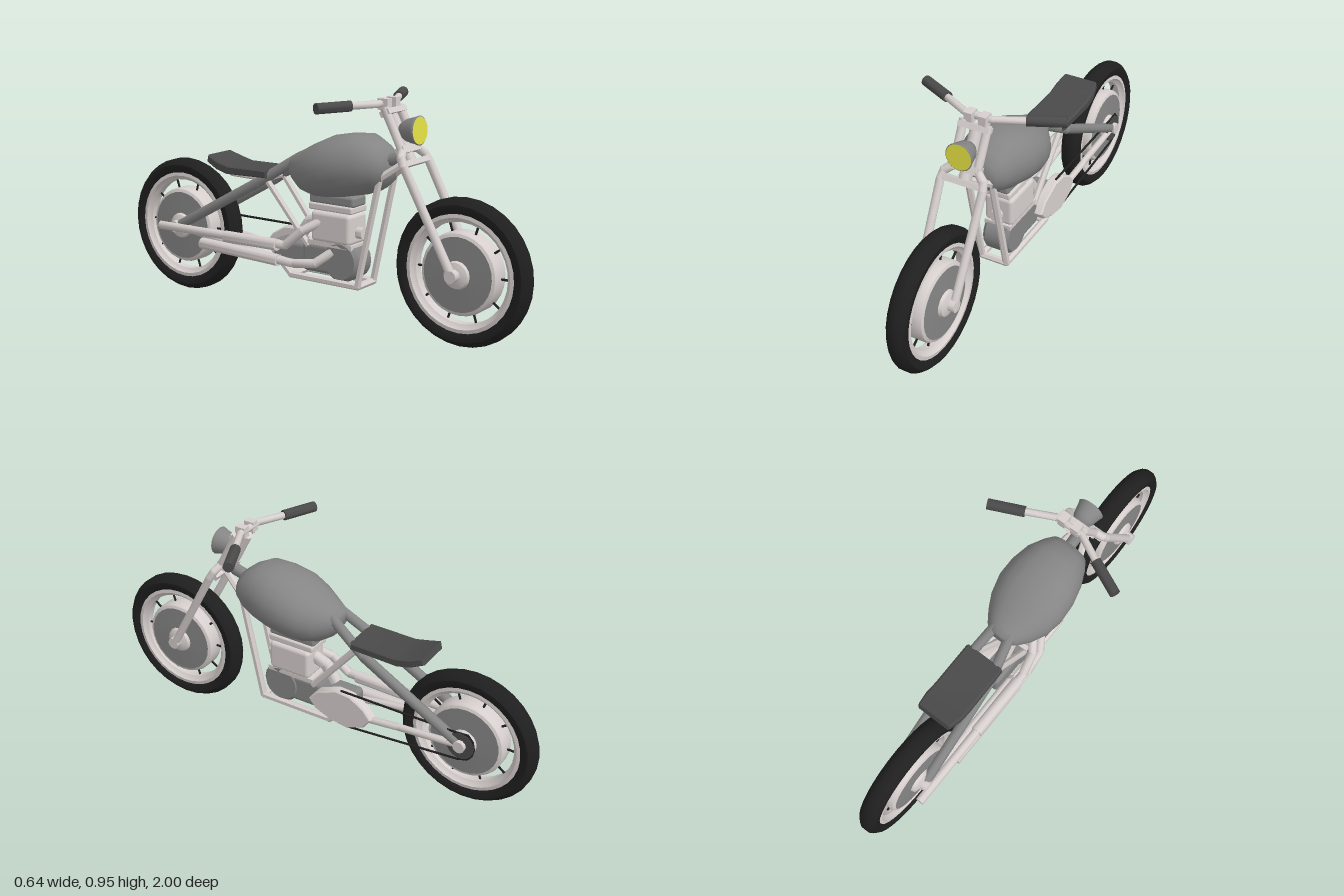
import * as THREE from 'three';
import { toCreasedNormals } from 'three/addons/utils/BufferGeometryUtils.js';
import { RoundedBoxGeometry } from 'three/addons/geometries/RoundedBoxGeometry.js';

const mat = (color) => new THREE.MeshStandardMaterial({ color, side: THREE.DoubleSide });
const LIGHT = mat(0xd6cfcd), GREY = mat(0x858585), DARK = mat(0x4a4a4a), BLACK = mat(0x1f1f1f), YELLOW = mat(0xe3e044);
const V = (x, y, z) => new THREE.Vector3(x, y, z);

export function createModel() {
  const bike = new THREE.Group();
  bike.name = 'motorcycle';

  const add = (name, geo, material, parent = bike) => {
    const mesh = new THREE.Mesh(geo, material);
    mesh.name = name;
    parent.add(mesh);
    return mesh;
  };
  const box = (name, w, h, d, x, y, z, material = LIGHT, radius = 0) => {
    const geo = radius ? new RoundedBoxGeometry(w, h, d, 2, radius) : new THREE.BoxGeometry(w, h, d);
    const mesh = add(name, geo, material);
    mesh.position.set(x, y, z);
    return mesh;
  };
  // Straight rods through a list of [x, y, z] points, with a ball at each bend
  const pipe = (name, points, r, material = LIGHT, sides = 8, parent = bike) => {
    const group = new THREE.Group();
    group.name = name;
    parent.add(group);
    const p = points.map((a) => V(...a));
    for (let i = 0; i + 1 < p.length; i++) {
      const dir = p[i + 1].clone().sub(p[i]);
      const geo = toCreasedNormals(new THREE.CylinderGeometry(r, r, dir.length(), sides), 0.9);
      const rod = add(name + 'Section', geo, material, group);
      rod.position.copy(p[i]).addScaledVector(dir, 0.5);
      rod.quaternion.setFromUnitVectors(V(0, 1, 0), dir.normalize());
      if (i) add(name + 'Bend', new THREE.SphereGeometry(r, sides, 6), material, group).position.copy(p[i]);
    }
    return group;
  };
  // Turned shape around the x axis, profile as [radius, x]
  const turned = (name, profile, sides, material, parent, crease = 0.6) => {
    const geo = new THREE.LatheGeometry(profile.map(([r, x]) => new THREE.Vector2(r, x)), sides);
    geo.rotateZ(-Math.PI / 2);
    return add(name, toCreasedNormals(geo, crease), material, parent);
  };
  const mirrored = (build) => [1, -1].forEach(build);

  // Wheels
  const makeWheel = (name, z) => {
    const wheel = new THREE.Group();
    wheel.name = name;
    wheel.position.set(0, 0.297, z);
    bike.add(wheel);
    turned('tire', [[0.235, -0.032], [0.25, -0.042], [0.272, -0.043], [0.288, -0.028], [0.296, -0.014],
      [0.296, 0.014], [0.288, 0.028], [0.272, 0.043], [0.25, 0.042], [0.235, 0.032]], 32, BLACK, wheel, 0.7);
    turned('rim', [[0.237, -0.034], [0.222, -0.036], [0.216, -0.026], [0.203, -0.018], [0.203, 0.018],
      [0.216, 0.026], [0.222, 0.036], [0.237, 0.034]], 32, LIGHT, wheel);
    turned('drum', [[0.15, -0.046], [0.162, -0.041], [0.167, -0.03], [0.167, 0.03], [0.162, 0.041], [0.15, 0.046]],
      28, LIGHT, wheel);
    mirrored((s) => {
      turned('drumFace', [[0.15, s * 0.046], [0.055, s * 0.05]], 28, GREY, wheel);
      turned('hub', [[0.058, s * 0.048], [0.052, s * 0.062], [0.028, s * 0.072], [0, s * 0.072]], 16, LIGHT, wheel);
    });
    for (let i = 0; i < 10; i++) {
      const a = (i + 0.5) / 10 * Math.PI * 2, c = Math.cos(a), d = Math.sin(a);
      pipe('spoke', [[0, 0.16 * c, 0.16 * d], [0, 0.21 * c, 0.21 * d]], 0.005, BLACK, 5, wheel);
    }
  };
  makeWheel('frontWheel', 0.704);
  makeWheel('rearWheel', -0.704);
  pipe('frontAxle', [[-0.105, 0.3, 0.704], [0.1, 0.3, 0.704]], 0.026, LIGHT, 10);
  pipe('rearAxle', [[-0.1, 0.3, -0.704], [0.1, 0.3, -0.704]], 0.026, LIGHT, 10);

  // Front fork
  mirrored((s) => {
    pipe('forkLeg', [[s * 0.086, 0.285, 0.71], [s * 0.093, 0.7, 0.485], [s * 0.086, 0.73, 0.468],
      [s * 0.053, 0.755, 0.452], [s * 0.053, 0.915, 0.368]], 0.018);
    box('barClamp', 0.034, 0.045, 0.045, s * 0.031, 0.928, 0.355);
  });
  box('lowerForkBrace', 0.17, 0.022, 0.04, 0, 0.705, 0.475).rotation.x = -0.48;
  box('upperForkBrace', 0.13, 0.022, 0.045, 0, 0.898, 0.375).rotation.x = -0.48;
  box('middleForkBrace', 0.13, 0.03, 0.04, 0, 0.755, 0.448).rotation.x = -0.48;
  pipe('steeringHead', [[0, 0.69, 0.465], [0, 0.9, 0.355]], 0.026, LIGHT, 10);

  // Handlebar and grips
  pipe('handlebar', [[-0.2, 0.93, 0.275], [-0.06, 0.93, 0.345], [0.06, 0.93, 0.345], [0.2, 0.93, 0.275]], 0.015);
  mirrored((s) => pipe('grip', [[s * 0.172, 0.93, 0.288], [s * 0.31, 0.93, 0.224]], 0.022, DARK, 12));

  // Headlight: bowl and lens
  const lamp = new THREE.Group();
  lamp.name = 'headlight';
  lamp.position.set(0, 0.832, 0.496);
  lamp.rotation.x = -0.06;
  bike.add(lamp);
  const bowl = [[0, -0.085], [0.028, -0.08], [0.044, -0.055], [0.055, -0.01], [0.059, 0], [0.054, 0.003]];
  const bowlGeo = new THREE.LatheGeometry(bowl.map(([r, h]) => new THREE.Vector2(r, h)), 20).rotateX(Math.PI / 2);
  add('headlightBowl', bowlGeo, GREY, lamp);
  add('headlightLens', new THREE.CircleGeometry(0.055, 24), YELLOW, lamp).position.z = 0.003;
  pipe('headlightBracket', [[0, 0.83, 0.43], [0, 0.82, 0.4]], 0.02);

  // Fuel tank lofted from stations [z, bottom, top, half width]
  const stations = [[0.37, 0.645, 0.695, 0.045], [0.36, 0.605, 0.735, 0.085], [0.325, 0.575, 0.765, 0.108],
    [0.26, 0.55, 0.798, 0.138], [0.18, 0.533, 0.793, 0.157], [0.1, 0.522, 0.777, 0.16], [0.03, 0.52, 0.745, 0.143],
    [-0.03, 0.532, 0.713, 0.112], [-0.08, 0.565, 0.69, 0.077], [-0.108, 0.61, 0.672, 0.05]];
  const n = 20, pos = [], idx = [];
  stations.forEach(([z, lo, hi, w]) => {
    for (let i = 0; i < n; i++) {
      const a = i / n * Math.PI * 2, sx = Math.sin(a), cy = Math.cos(a);
      const x = w * Math.sign(sx) * Math.abs(sx) ** 0.85;
      pos.push(x, (lo + hi) / 2 + (hi - lo) / 2 * cy, z);
    }
  });
  const last = stations.length - 1;
  for (let k = 0; k < last; k++) for (let i = 0; i < n; i++) {
    const a = k * n + i, b = k * n + (i + 1) % n;
    idx.push(a, a + n, b, b, a + n, b + n);
  }
  [0, last].forEach((k) => {
    const [z, lo, hi] = stations[k], c = pos.length / 3;
    pos.push(0, (lo + hi) / 2, z);
    for (let i = 0; i < n; i++) {
      const a = k * n + i, b = k * n + (i + 1) % n;
      idx.push(c, ...(k ? [b, a] : [a, b]));
    }
  });
  const tank = new THREE.BufferGeometry();
  tank.setAttribute('position', new THREE.Float32BufferAttribute(pos, 3));
  tank.setIndex(idx);
  tank.computeVertexNormals();
  add('fuelTank', tank, GREY);

  // Frame
  mirrored((s) => {
    pipe('downTube', [[s * 0.02, 0.71, 0.455], [s * 0.055, 0.635, 0.35], [s * 0.058, 0.175, 0.25],
      [s * 0.058, 0.175, -0.085], [s * 0.06, 0.23, -0.14]], 0.015, LIGHT, 6);
    pipe('rearStay', [[s * 0.035, 0.665, -0.07], [s * 0.068, 0.55, -0.25], [s * 0.074, 0.3, -0.7]], 0.022, GREY);
    pipe('chainStay', [[s * 0.06, 0.23, -0.12], [s * 0.07, 0.27, -0.42], [s * 0.074, 0.295, -0.7]], 0.015);
    pipe('seatStrut', [[s * 0.05, 0.31, 0], [s * 0.06, 0.57, -0.215], [s * 0.06, 0.572, -0.4]], 0.014, LIGHT, 6);
  });
  [0.25, -0.085].forEach((z) => pipe('lowerCrossTube', [[-0.058, 0.175, z], [0.058, 0.175, z]], 0.015, LIGHT, 6));
  pipe('seatCrossTube', [[-0.06, 0.57, -0.215], [0.06, 0.57, -0.215]], 0.014, LIGHT, 6);
  pipe('backbone', [[0, 0.72, 0.43], [0, 0.66, 0.2], [0, 0.64, -0.09]], 0.025, GREY);

  // Seat: side outline extruded across, narrowing toward the nose
  const seatShape = new THREE.Shape([[0.2, 0.602], [0.4, 0.6], [0.46, 0.614], [0.515, 0.634], [0.52, 0.612],
    [0.465, 0.588], [0.41, 0.574], [0.2, 0.58]].map(([z, y]) => new THREE.Vector2(z, y)));
  const seat = new THREE.ExtrudeGeometry(seatShape, { depth: 0.164, bevelEnabled: true, bevelSize: 0.005,
    bevelThickness: 0.008, bevelSegments: 1 });
  seat.translate(0, 0, -0.082).rotateY(Math.PI / 2);
  const sp = seat.attributes.position;
  for (let i = 0; i < sp.count; i++) if (sp.getZ(i) < -0.5) sp.setX(i, sp.getX(i) * 0.88);
  add('seat', toCreasedNormals(seat, 0.5), DARK);

  // Engine
  const crankcase = turned('crankcase', [[0, -0.06], [0.075, -0.06], [0.088, -0.045], [0.088, 0.045], [0.075, 0.06],
    [0, 0.06]], 18, GREY, bike);
  crankcase.position.set(0, 0.265, 0.16);
  box('gearbox', 0.11, 0.125, 0.24, 0, 0.262, 0.085, GREY, 0.02);
  box('cylinderBase', 0.12, 0.02, 0.22, 0, 0.33, 0.11);
  box('cylinderBlock', 0.13, 0.13, 0.195, 0, 0.4, 0.115, LIGHT, 0.018);
  box('cylinderHead', 0.115, 0.03, 0.215, 0, 0.482, 0.11, LIGHT, 0.008);
  box('rockerCover', 0.1, 0.045, 0.22, 0, 0.515, 0.11, GREY, 0.012);
  pipe('intake', [[0, 0.385, 0.2], [0, 0.385, 0.242]], 0.025, LIGHT, 10);
  pipe('carburetor', [[0, 0.42, 0.03], [0, 0.4, -0.03], [0, 0.33, -0.08]], 0.026, LIGHT, 10);
  box('transmission', 0.1, 0.11, 0.18, 0, 0.26, -0.1, GREY, 0.02);

  // Drive cover, rear sprocket and chain on the left side
  const outline = [[-0.002, 0.265], [0.035, 0.31], [0.13, 0.35], [0.2, 0.345], [0.265, 0.305], [0.3, 0.262],
    [0.265, 0.215], [0.18, 0.182], [0.1, 0.195], [0.03, 0.225]].map(([z, y]) => new THREE.Vector2(z, y));
  const cover = new THREE.ExtrudeGeometry(new THREE.Shape(outline), { depth: 0.035, bevelEnabled: true,
    bevelSize: 0.006, bevelOffset: -0.006, bevelThickness: 0.006, bevelSegments: 1 });
  cover.rotateY(Math.PI / 2).translate(0.048, 0, 0);
  add('driveCover', toCreasedNormals(cover, 0.5), LIGHT);
  turned('sprocket', [[0, 0.072], [0.06, 0.072], [0.06, 0.082], [0, 0.082]], 18, DARK, bike)
    .position.set(0, 0.297, -0.704);
  const chain = [[-0.15, 0.352], [-0.68, 0.352]];
  for (let i = 1; i <= 5; i++) {
    const a = Math.PI / 2 - i * Math.PI / 6;
    chain.push([-0.704 - 0.058 * Math.cos(a), 0.297 + 0.068 * Math.sin(a)]);
  }
  chain.push([-0.69, 0.225], [-0.18, 0.183]);
  pipe('chain', chain.map(([z, y]) => [0.076, y, z]), 0.005, BLACK, 5);

  // Two exhausts on the right side
  pipe('upperExhaust', [[-0.05, 0.42, 0.06], [-0.095, 0.38, 0.0], [-0.107, 0.31, -0.08], [-0.107, 0.3, -0.775]], 0.019);
  pipe('upperMuffler', [[-0.108, 0.306, -0.12], [-0.108, 0.302, -0.4]], 0.026, LIGHT, 10);
  pipe('lowerExhaust', [[-0.05, 0.3, 0.12], [-0.09, 0.25, 0.06], [-0.1, 0.237, -0.04], [-0.1, 0.245, -0.3]], 0.019);
  pipe('lowerMuffler', [[-0.1, 0.238, -0.12], [-0.1, 0.25, -0.54]], 0.026, LIGHT, 10);

  bike.position.x = -0.003;
  const model = new THREE.Group();
  model.name = 'model';
  model.add(bike);
  return model;
}
